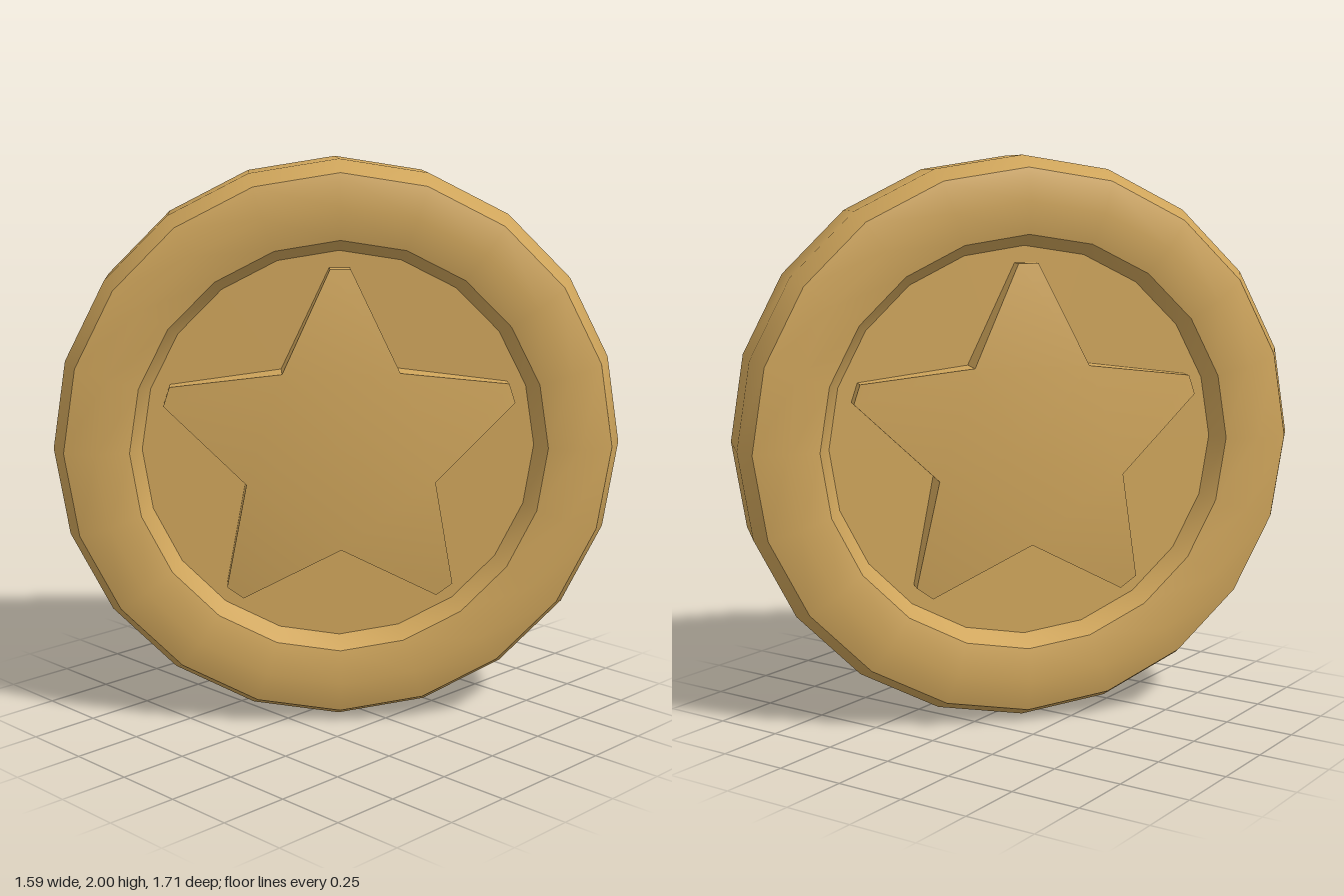
import * as THREE from 'three';
import { toCreasedNormals } from 'three/addons/utils/BufferGeometryUtils.js';

const gold = new THREE.MeshStandardMaterial({ color: 0xcfa55b });

// Disc with a bulging rim and a recessed floor on both faces
function makeDisc() {
  const half = [[1, 0.12], [0.957, 0.212], [0.845, 0.245], [0.73, 0.22], [0.69, 0.15], [0, 0.15]];
  const profile = [
    ...half.map(([r, h]) => new THREE.Vector2(r, -h)).reverse(),
    ...half.map(([r, h]) => new THREE.Vector2(r, h)),
  ];
  const geometry = new THREE.LatheGeometry(profile, 20).rotateX(Math.PI / 2);
  const mesh = new THREE.Mesh(toCreasedNormals(geometry, 0.56), gold);
  mesh.name = 'disc';
  return mesh;
}

// Raised star: flat pentagon centre, points sloping down to blunt tips, upright walls
function makeStarGeometry() {
  const floor = 0.145, tipH = 0.21, midH = 0.268;
  const innerR = 0.345, tipR = 0.632, tipHalfAngle = 0.056;
  const positions = [];
  const tri = (...corners) => corners.forEach((c) => positions.push(c.x, c.y, c.z));
  const quad = (a, b, c, d) => { tri(a, b, c); tri(a, c, d); };
  const at = (r, angle, z) => new THREE.Vector3(r * Math.cos(angle), r * Math.sin(angle), z);
  const wall = (a, b) => quad(a.clone().setZ(floor), b.clone().setZ(floor), b, a);
  const centre = new THREE.Vector3(0, 0, midH);

  for (let i = 0; i < 5; i++) {
    const angle = Math.PI / 2 + (i * 2 * Math.PI) / 5;
    const start = at(innerR, angle - Math.PI / 5, midH);
    const end = at(innerR, angle + Math.PI / 5, midH);
    const tipA = at(tipR, angle - tipHalfAngle, tipH);
    const tipB = at(tipR, angle + tipHalfAngle, tipH);
    tri(centre, start, end);
    quad(start, tipA, tipB, end);
    wall(start, tipA);
    wall(tipA, tipB);
    wall(tipB, end);
  }
  const geometry = new THREE.BufferGeometry();
  geometry.setAttribute('position', new THREE.Float32BufferAttribute(positions, 3));
  return toCreasedNormals(geometry, 0.5);
}

export function createModel() {
  const model = new THREE.Group();
  model.name = 'starCoin';
  model.add(makeDisc());

  // The same star on the front and the back
  const starGeometry = makeStarGeometry();
  ['frontStar', 'backStar'].forEach((name, i) => {
    const star = new THREE.Mesh(starGeometry, gold);
    star.name = name;
    star.rotation.y = i * Math.PI;
    model.add(star);
  });

  // Coin stands on its edge, turned about the vertical
  model.rotation.y = THREE.MathUtils.degToRad(48.2);
  model.position.y = 1;
  return model;
}
